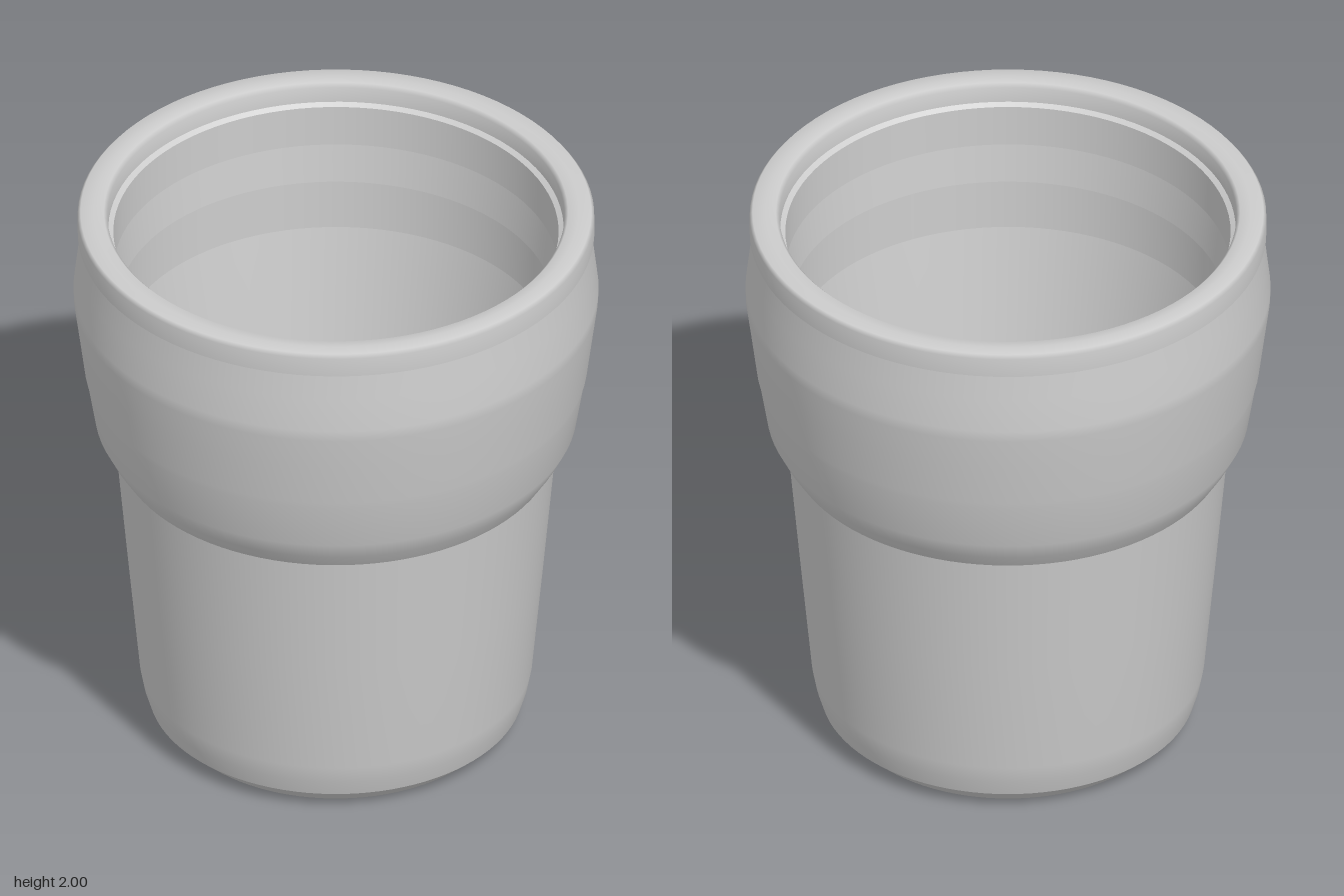
import * as THREE from 'three';

const material = new THREE.MeshStandardMaterial({ color: 0xcccccc });

// Revolves a [radius, height] profile; separate profiles meet in sharp edges
function turned(name, profile) {
  const points = profile.map(([r, y]) => new THREE.Vector2(r, y));
  const mesh = new THREE.Mesh(new THREE.LatheGeometry(points, 96), material);
  mesh.name = name;
  return mesh;
}

export function createModel() {
  const pot = new THREE.Group();
  pot.name = 'plantPot';

  pot.add(
    // Flat underside around the drain hole
    turned('underside', [[0.075, 0], [0.56, 0]]),
    // Bevelled foot and tapered lower body
    turned('footBevel', [[0.56, 0], [0.63, 0.065]]),
    turned('lowerBody', [[0.63, 0.065], [0.648, 0.125], [0.66, 0.19], [0.7, 0.62], [0.74, 1.065]]),
    // Wider collar with a shallow step
    turned('collar', [
      [0.74, 1.065], [0.775, 1.12], [0.81, 1.19], [0.838, 1.36], [0.845, 1.385],
      [0.865, 1.54], [0.881, 1.66], [0.882, 1.7], [0.868, 1.82], [0.858, 1.91],
    ]),
    // Rolled rim
    turned('rimLedge', [[0.858, 1.91], [0.868, 1.915]]),
    turned('rim', [
      [0.868, 1.915], [0.868, 1.985], [0.858, 1.998], [0.815, 2], [0.78, 1.998], [0.768, 1.985], [0.765, 1.93],
    ]),
    // Inner wall: stepped bands under the rim
    turned('rimUnderside', [[0.765, 1.93], [0.748, 1.92]]),
    turned('innerUpperBand', [[0.748, 1.92], [0.746, 1.77]]),
    turned('innerStep', [[0.746, 1.77], [0.73, 1.63]]),
    turned('innerMiddleBand', [[0.73, 1.63], [0.725, 1.45]]),
    // Inner wall curving into the floor
    turned('innerLowerWall', [
      [0.725, 1.45], [0.67, 1.1], [0.61, 0.7], [0.56, 0.35], [0.5, 0.19], [0.4, 0.1],
    ]),
    // Floor easing into the drain hole
    turned('floor', [[0.4, 0.1], [0.28, 0.085], [0.16, 0.075], [0.1, 0.066], [0.075, 0.05], [0.075, 0]]),
  );
  return pot;
}
